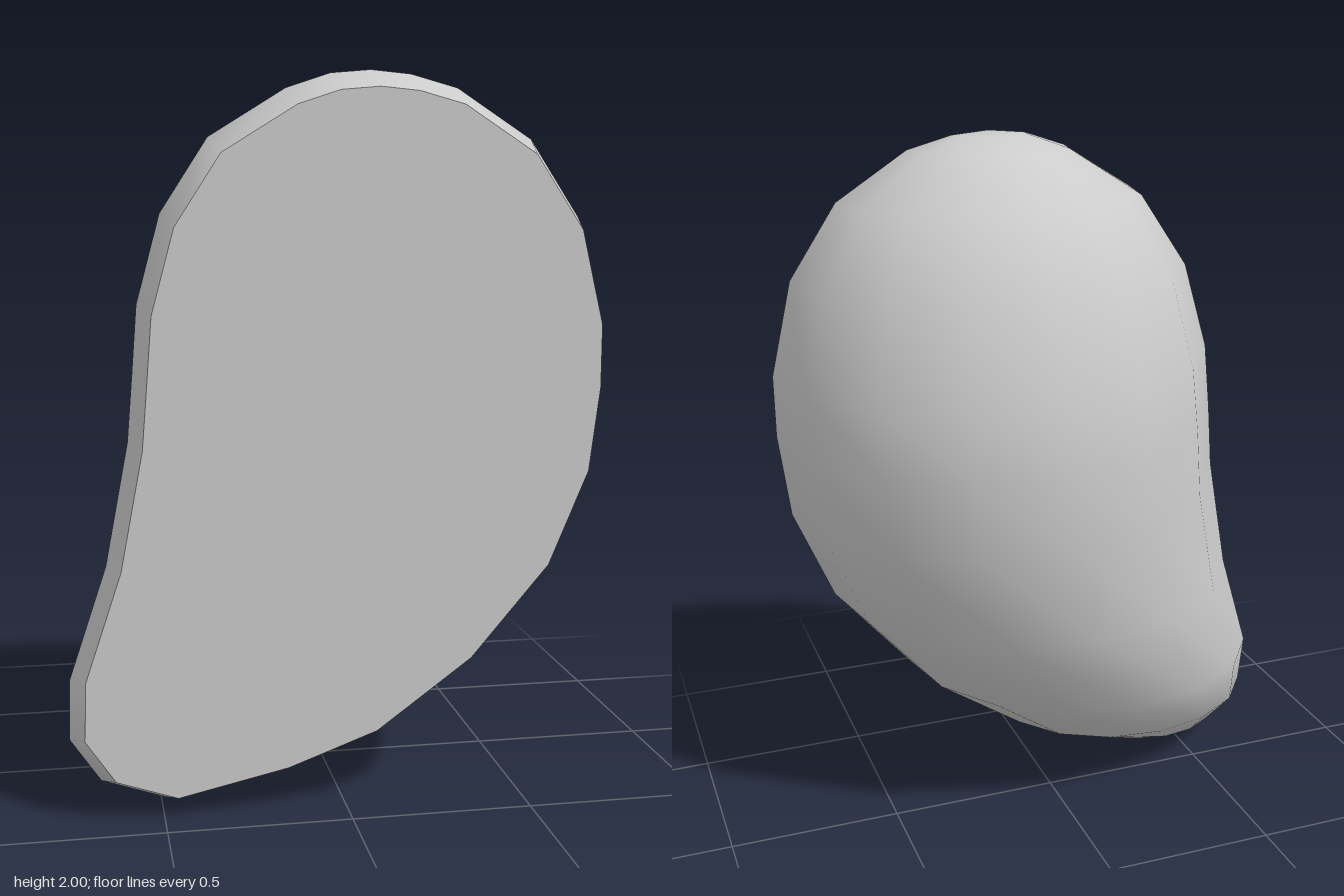
import * as THREE from 'three';
import { mergeVertices } from 'three/addons/utils/BufferGeometryUtils.js';

const RIM_Z = 0.26;    // widest outline
const FRONT_Z = 0.41;  // flat cut face
const INSET = 0.945;   // cut face outline relative to the widest outline
const STEPS = 8;       // facets around the half ellipse

// Cross-sections from top to bottom: right x, right y, left x, left y, back z
const RINGS = [
  [0.09, 2.0, 0.09, 2.0, RIM_Z],
  [0.2, 1.99, -0.02, 1.99, 0.15],
  [0.33, 1.955, -0.14, 1.95, 0.02],
  [0.54, 1.82, -0.35, 1.82, -0.17],
  [0.68, 1.61, -0.48, 1.62, -0.31],
  [0.745, 1.34, -0.545, 1.38, -0.385],
  [0.745, 1.16, -0.56, 1.19, -0.41],
  [0.715, 0.915, -0.575, 1.01, -0.4],
  [0.6, 0.64, -0.64, 0.67, -0.36],
  [0.37, 0.37, -0.745, 0.355, -0.25],
  [0.09, 0.165, -0.75, 0.185, -0.105],
  [-0.17, 0.07, -0.665, 0.06, 0.035],
  [-0.49, 0.0, -0.49, 0.0, RIM_Z],
];

// Outline point shrunk towards the middle of the front face
const inset = (x, y) => [x * INSET, 1 + (y - 1) * INSET];

// Domed body: half ellipses round the back, ending in a bevel to the front
function bodyGeometry() {
  const positions = [], index = [];
  const columns = STEPS + 3;
  RINGS.forEach(([rx, ry, lx, ly, back], i) => {
    positions.push(...inset(rx, ry), FRONT_Z);
    for (let k = 0; k <= STEPS; k++) {
      const angle = (k / STEPS) * Math.PI;
      const t = (1 - Math.cos(angle)) / 2;
      positions.push(
        rx + (lx - rx) * t,
        ry + (ly - ry) * t,
        RIM_Z + (back - RIM_Z) * Math.sin(angle),
      );
    }
    positions.push(...inset(lx, ly), FRONT_Z);
    if (i === RINGS.length - 1) return;
    for (let k = 0; k < columns - 1; k++) {
      const a = i * columns + k, b = a + columns;
      index.push(a, b, b + 1, a, b + 1, a + 1);
    }
  });
  const geometry = new THREE.BufferGeometry();
  geometry.setAttribute('position', new THREE.Float32BufferAttribute(positions, 3));
  geometry.setIndex(index);
  const merged = mergeVertices(geometry, 1e-4);
  merged.computeVertexNormals();
  return merged;
}

// Flat front face closing the body
function frontGeometry() {
  const right = RINGS.map(([x, y]) => new THREE.Vector2(...inset(x, y)));
  const left = RINGS.slice(1, -1).map((r) => new THREE.Vector2(...inset(r[2], r[3])));
  const outline = [...left, ...right.reverse()];
  return new THREE.ShapeGeometry(new THREE.Shape(outline)).translate(0, 0, FRONT_Z);
}

export function createModel() {
  const group = new THREE.Group();
  group.name = 'halfBean';
  const material = new THREE.MeshStandardMaterial({ color: 0xcccccc });

  const body = new THREE.Mesh(bodyGeometry(), material);
  body.name = 'domedBody';
  const front = new THREE.Mesh(frontGeometry(), material);
  front.name = 'flatFront';

  group.add(body, front);
  return group;
}
